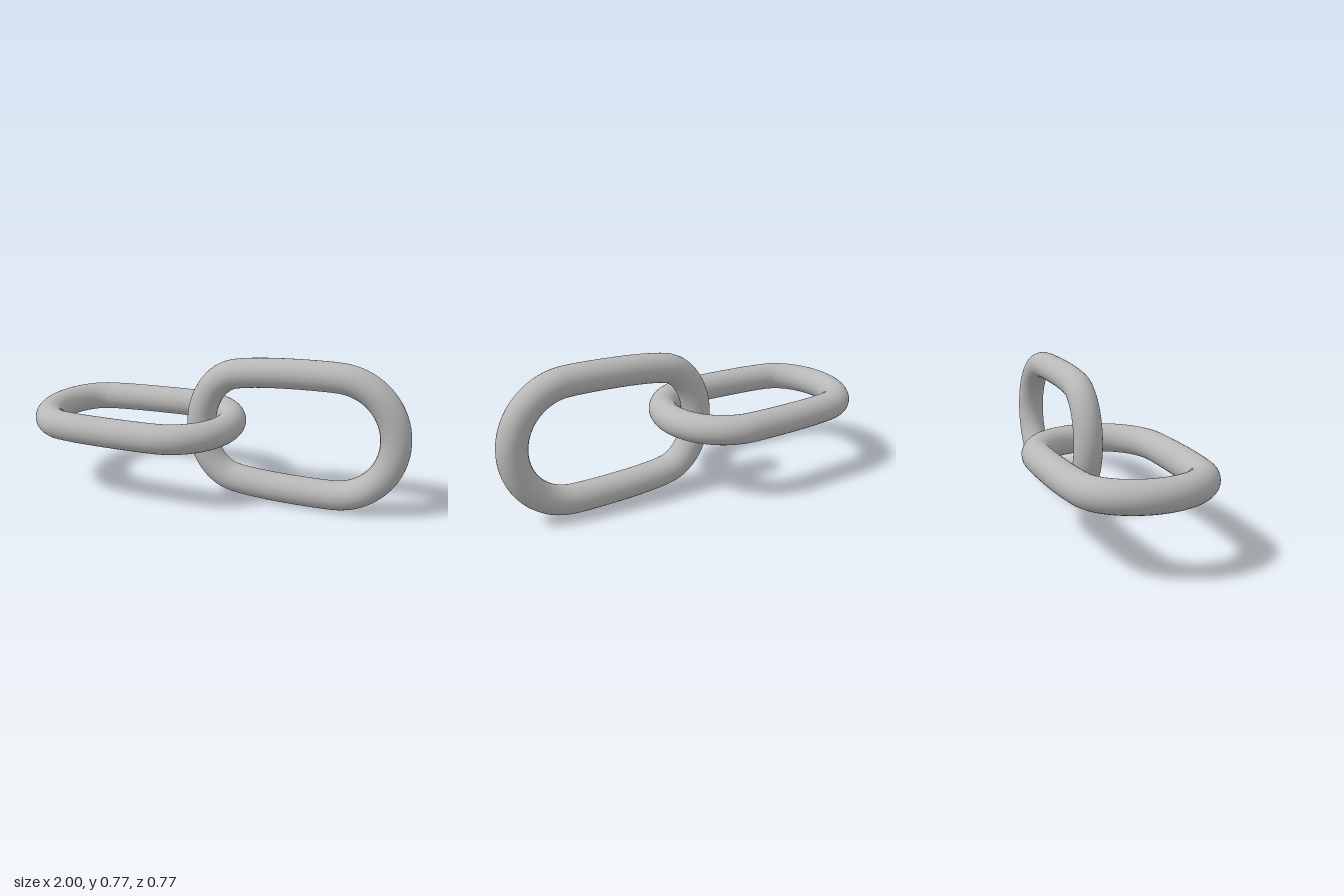
import * as THREE from 'three';

const TUBE = 0.075; // bar radius
const MID_Y = 0.385; // height of the chain axis

// Closed centre line of one link in the xy plane, slightly narrower at its -x end
function linkPath() {
  const upper = [
    [[-0.075, 0], [-0.075, 0.13], [-0.005, 0.253], [0.1, 0.28]],
    [[0.1, 0.28], [0.2, 0.303], [0.4, 0.31], [0.55, 0.31]],
    [[0.55, 0.31], [0.58, 0.31], [0.61, 0.31], [0.64, 0.308]],
    [[0.64, 0.308], [0.8, 0.3], [0.925, 0.165], [0.925, 0]],
  ];
  const path = new THREE.CurvePath();
  const add = (pts, s) => path.add(
    new THREE.CubicBezierCurve3(...pts.map(([x, y]) => new THREE.Vector3(x, s * y, 0))));
  upper.forEach((pts) => add(pts, 1));
  // mirrored lower half, running back to the start
  [...upper].reverse().forEach((pts) => add([...pts].reverse(), -1));
  return path;
}

export function createModel() {
  const group = new THREE.Group();
  const steel = new THREE.MeshStandardMaterial({ color: 0xb8b8b8 });
  steel.name = 'steelGrey';
  const geometry = new THREE.TubeGeometry(linkPath(), 160, TUBE, 32, true);

  // Upright link on the +x side
  const uprightLink = new THREE.Mesh(geometry, steel);
  uprightLink.name = 'uprightLink';
  uprightLink.position.set(0, MID_Y, 0);

  // Same link laid flat, hooked through the first one
  const flatLink = new THREE.Mesh(geometry, steel);
  flatLink.name = 'flatLink';
  flatLink.rotation.x = Math.PI / 2;
  flatLink.position.set(-0.85, MID_Y, 0);

  group.add(uprightLink, flatLink);
  return group;
}
